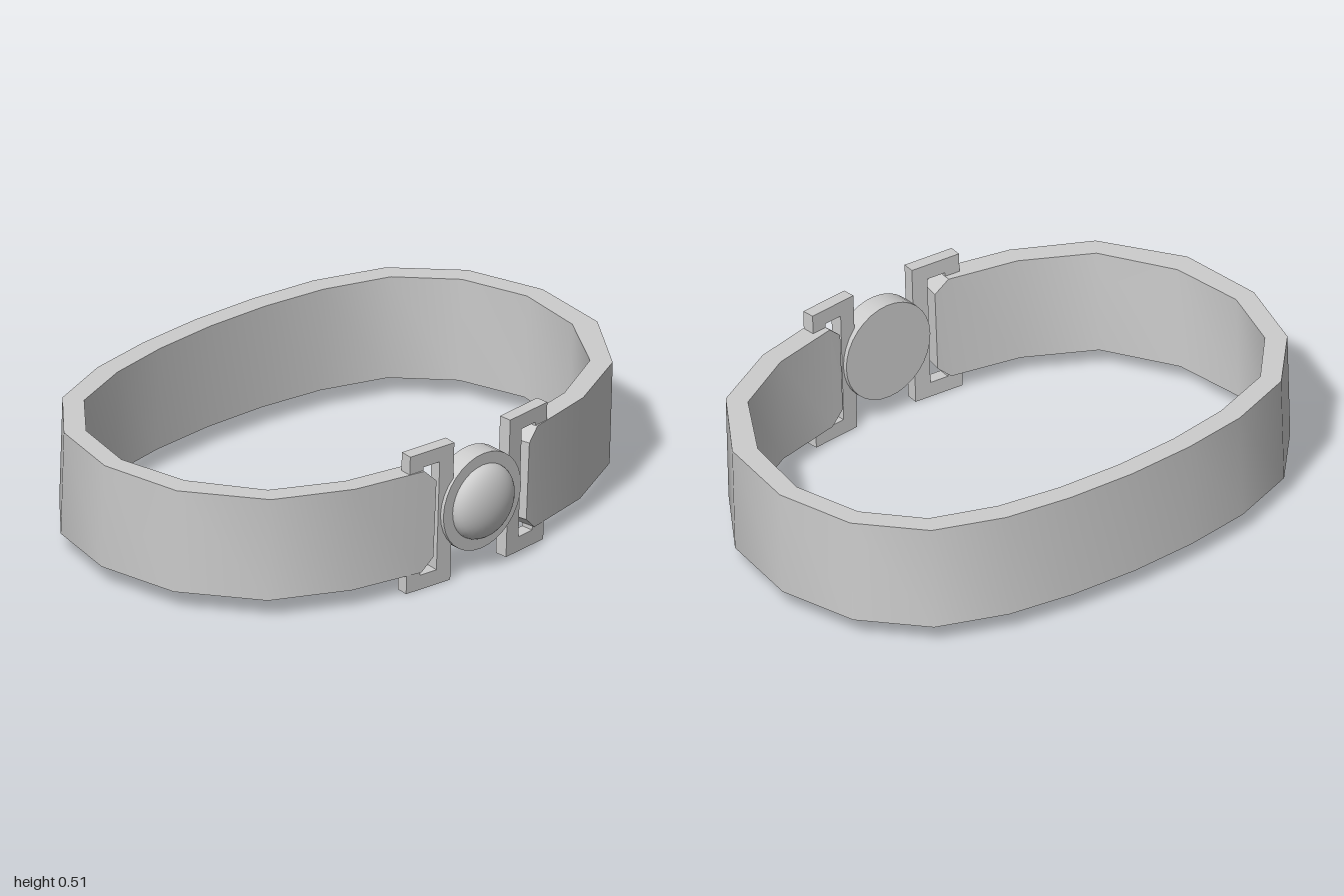
import * as THREE from 'three';
import { toCreasedNormals } from 'three/addons/utils/BufferGeometryUtils.js';

const TOP = 0.448, BOTTOM = 0.072, LEAN = 0.015, MID = 0.26;

// Half of the band from the clasp to the back:
// outer x, outer z, inner x, inner z, corner inset
const HALF = [
  [0.212, 0.666, 0.2, 0.592, 0.045],
  [0.258, 0.657, 0.25, 0.583, 0],
  [0.52, 0.6, 0.5, 0.53, 0],
  [0.78, 0.467, 0.735, 0.405, 0],
  [0.96, 0.202, 0.885, 0.16, 0],
  [1.0, -0.105, 0.926, -0.103, 0],
  [0.922, -0.385, 0.858, -0.345, 0],
  [0.738, -0.587, 0.7, -0.522, 0],
  [0.492, -0.678, 0.47, -0.605, 0],
  [0.25, -0.714, 0.24, -0.642, 0],
  [0, -0.726, 0, -0.654, 0],
];

// Open band swept through rectangular cross-sections, with clipped ends
function bandGeometry() {
  const mirrored = HALF.slice(0, -1).reverse().map(([a, b, c, d, e]) => [-a, b, -c, d, e]);
  const sections = [...HALF, ...mirrored];
  const pos = [], index = [];
  for (const [ox, oz, ix, iz, inset] of sections) {
    const t = TOP - inset, b = BOTTOM + inset;
    pos.push(ox, t, oz, ox, b, oz - LEAN, ix, b, iz - LEAN, ix, t, iz);
  }
  const last = (sections.length - 1) * 4;
  for (let s = 0; s < last; s += 4) {
    for (let j = 0; j < 4; j++) {
      const k = (j + 1) % 4;
      index.push(s + j, s + k, s + 4 + k, s + j, s + 4 + k, s + 4 + j);
    }
  }
  index.push(0, 2, 1, 0, 3, 2, last, last + 1, last + 2, last, last + 2, last + 3);
  const geo = new THREE.BufferGeometry();
  geo.setAttribute('position', new THREE.Float32BufferAttribute(pos, 3));
  geo.setIndex(index);
  return toCreasedNormals(geo, 0.6);
}

// Rectangular ring whose outer bar threads through the band
function frameGeometry() {
  const w = 0.093, h = 0.255, depth = 0.045;
  const rect = (Type, x0, x1, y) => new Type([
    new THREE.Vector2(x0, -y), new THREE.Vector2(x1, -y),
    new THREE.Vector2(x1, y), new THREE.Vector2(x0, y),
  ]);
  const shape = rect(THREE.Shape, -w, w, h);
  shape.holes.push(rect(THREE.Path, -0.033, 0.036, 0.201));
  return new THREE.ExtrudeGeometry(shape, { depth, bevelEnabled: false }).translate(0, 0, -depth / 2);
}

export function createModel() {
  const model = new THREE.Group();
  model.name = 'belt';
  const metal = new THREE.MeshStandardMaterial({ color: 0xcccccc });
  metal.name = 'light grey';

  const add = (parent, name, geo, x = 0, y = 0, z = 0) => {
    const mesh = new THREE.Mesh(geo, metal);
    mesh.name = name;
    mesh.position.set(x, y, z);
    parent.add(mesh);
    return mesh;
  };

  add(model, 'band', bandGeometry());

  // Clasp leans forward slightly with the front of the band
  const clasp = new THREE.Group();
  clasp.name = 'clasp';
  clasp.position.set(0, MID, 0.62);
  clasp.rotation.x = 0.04;
  model.add(clasp);

  const frame = frameGeometry();
  for (const side of [1, -1]) {
    const mesh = add(clasp, side > 0 ? 'leftFrame' : 'rightFrame', frame, side * 0.218, 0, 0.002);
    // Half turn on the right keeps the wide bar beside the disc
    mesh.rotation.y = side > 0 ? 0.09 : Math.PI - 0.09;
  }

  // Round buckle plate with a domed stud
  const disc = new THREE.CylinderGeometry(0.177, 0.177, 0.075, 32).rotateX(Math.PI / 2);
  add(clasp, 'buckleDisc', disc, 0, 0, 0.005);
  const dome = new THREE.SphereGeometry(0.135, 32, 10, 0, Math.PI * 2, 0, Math.PI / 2)
    .scale(1, 0.5, 1).rotateX(Math.PI / 2);
  add(clasp, 'buckleDome', dome, 0, 0, 0.042);

  return model;
}
